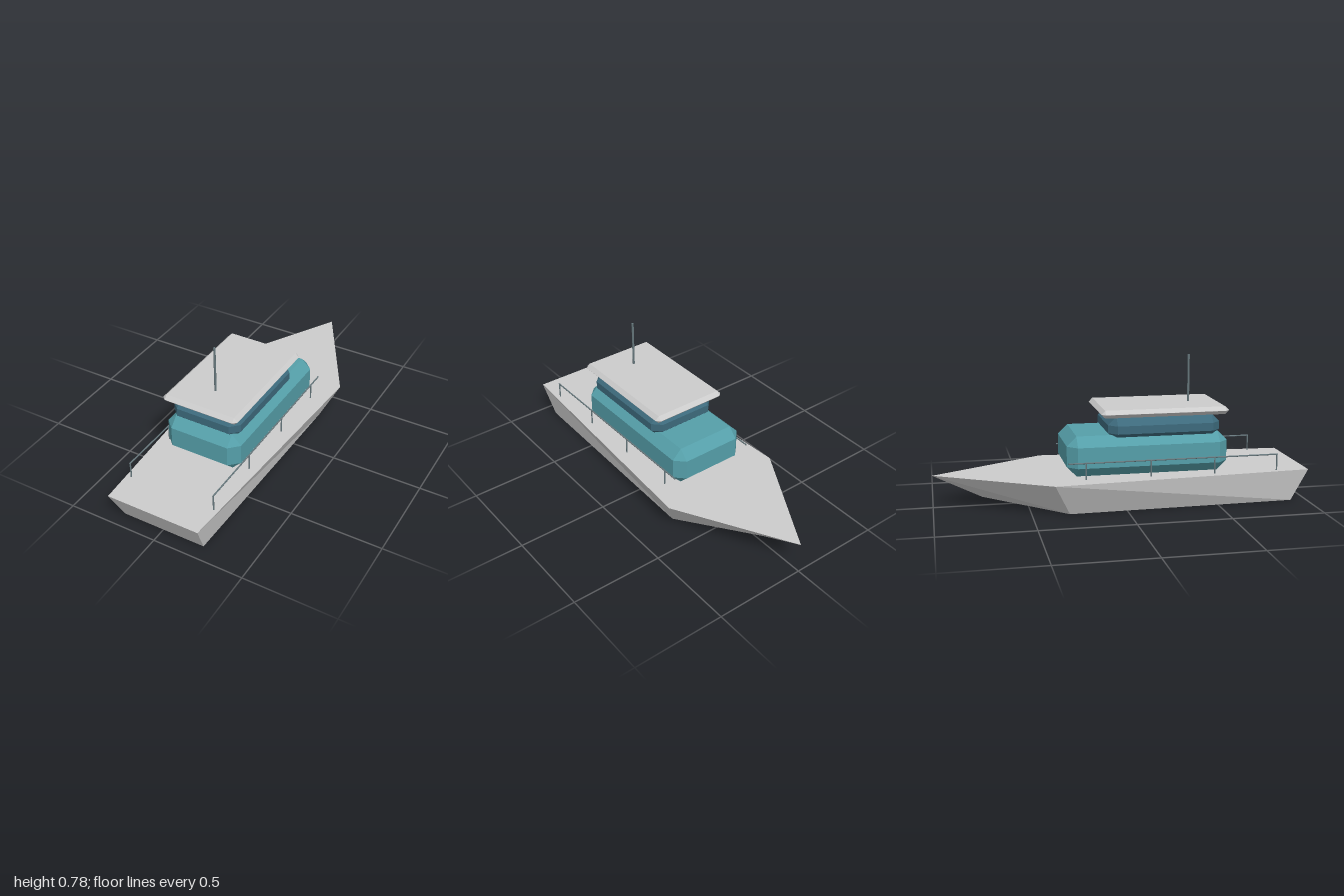
import * as THREE from 'three';
import { ConvexGeometry } from 'three/addons/geometries/ConvexGeometry.js';

const paint = (color) => new THREE.MeshStandardMaterial({ color, flatShading: true });

function addMesh(parent, name, geometry, material, x = 0, y = 0, z = 0) {
  const mesh = new THREE.Mesh(geometry, material);
  mesh.name = name;
  mesh.position.set(x, y, z);
  parent.add(mesh);
  return mesh;
}

// Box with every edge cut back by c
function chamferedBox(w, h, d, c) {
  const points = [];
  for (const sx of [-1, 1]) for (const sy of [-1, 1]) for (const sz of [-1, 1]) {
    for (let axis = 0; axis < 3; axis++) {
      const half = [w / 2 - c, h / 2 - c, d / 2 - c];
      half[axis] += c;
      points.push(new THREE.Vector3(sx * half[0], sy * half[1], sz * half[2]));
    }
  }
  return new ConvexGeometry(points);
}

// Hull lofted from a keel outline up to a deck outline, bow towards -z
function hullGeometry() {
  const keel = [[-0.235, 0, 0.915], [0.235, 0, 0.915], [0.26, 0, -0.305], [0, 0.045, -0.74], [-0.26, 0, -0.305]];
  const deck = [[-0.26, 0.175, 1], [0.26, 0.175, 1], [0.345, 0.175, -0.39], [0, 0.175, -1], [-0.345, 0.175, -0.39]];
  const n = deck.length;
  const index = [];
  for (let i = 0; i < n; i++) {
    const j = (i + 1) % n;
    index.push(i, j, n + i, j, n + j, n + i);
  }
  for (const [a, b, c] of [[0, 1, 2], [0, 2, 4], [2, 3, 4]]) {
    index.push(n + a, n + b, n + c, a, c, b);
  }
  const geometry = new THREE.BufferGeometry();
  geometry.setAttribute('position', new THREE.Float32BufferAttribute([...keel, ...deck].flat(), 3));
  geometry.setIndex(index);
  const flat = geometry.toNonIndexed();
  flat.computeVertexNormals();
  return flat;
}

export function createModel() {
  const boat = new THREE.Group();
  boat.name = 'motorYacht';
  const grey = paint(0xcccccc);
  const teal = paint(0x559fa9);
  const darkTeal = paint(0x3d6a7c);
  const metal = paint(0x66777c);

  addMesh(boat, 'hull', hullGeometry(), grey);

  // Stacked superstructure
  addMesh(boat, 'cabin', chamferedBox(0.434, 0.215, 0.87, 0.052), teal, 0, 0.2825, 0.13);
  addMesh(boat, 'bridge', chamferedBox(0.394, 0.133, 0.608, 0.045), darkTeal, 0, 0.4185, 0.221);
  addMesh(boat, 'roof', chamferedBox(0.434, 0.042, 0.69, 0.0205), grey, 0, 0.506, 0.219);
  addMesh(boat, 'mast', new THREE.CylinderGeometry(0.006, 0.006, 0.26, 8), metal, 0, 0.655, 0.393);

  // Side railings
  for (const side of [-1, 1]) {
    const railing = new THREE.Group();
    railing.name = side > 0 ? 'leftRailing' : 'rightRailing';
    railing.position.x = side * 0.243;
    boat.add(railing);
    const rail = addMesh(railing, 'handrail', new THREE.CylinderGeometry(0.004, 0.004, 1.135, 8), metal, 0, 0.263, 0.261);
    rail.rotation.x = Math.PI / 2;
    for (let i = 0; i < 4; i++) {
      addMesh(railing, 'railPost', new THREE.CylinderGeometry(0.004, 0.004, 0.09, 8), metal, 0, 0.219, 0.825 - i * 0.347);
    }
  }
  return boat;
}
